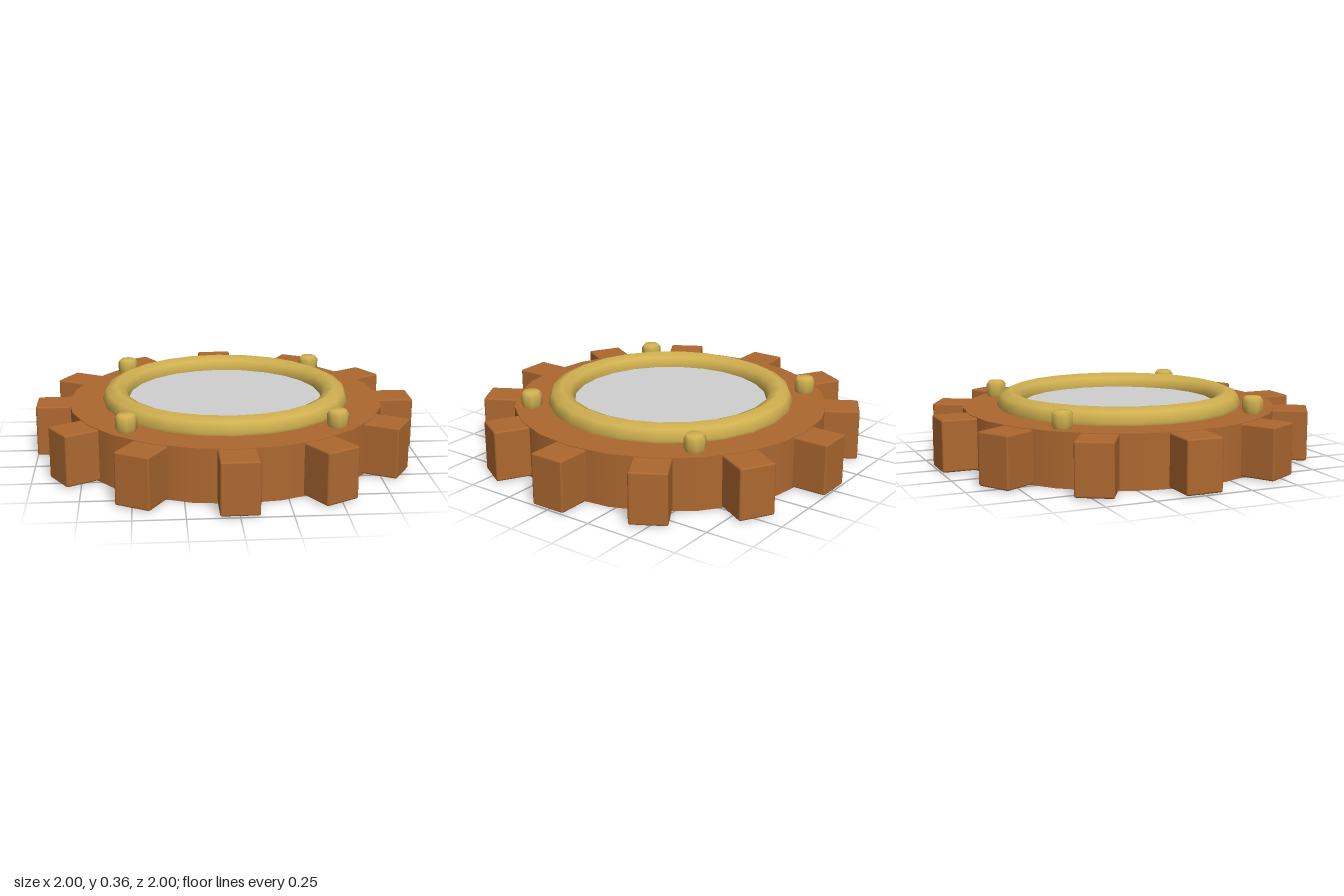
import * as THREE from 'three';
import { RoundedBoxGeometry } from 'three/addons/geometries/RoundedBoxGeometry.js';

export function createModel() {
  const model = new THREE.Group();
  model.name = 'gear';

  const material = (name, color) => {
    const m = new THREE.MeshStandardMaterial({ color });
    m.name = name;
    return m;
  };
  const copper = material('copper', 0xad6830);
  const gold = material('gold', 0xd0b050);
  const silver = material('silver', 0xd0d0d0);

  const add = (name, geometry, mat, x = 0, y = 0, z = 0) => {
    const mesh = new THREE.Mesh(geometry, mat);
    mesh.name = name;
    mesh.position.set(x, y, z);
    model.add(mesh);
    return mesh;
  };

  // Gear body
  add('gearBody', new THREE.CylinderGeometry(0.83, 0.83, 0.275, 24), copper, 0, 0.1375, 0);

  // Twelve softly bevelled teeth
  const toothShape = new RoundedBoxGeometry(0.19, 0.267, 0.3, 1, 0.01);
  for (let i = 0; i < 12; i++) {
    const a = (i * Math.PI) / 6;
    const tooth = add('tooth', toothShape, copper, Math.sin(a) * 0.85, 0.1385, Math.cos(a) * 0.85);
    tooth.rotation.y = a;
  }

  // Raised rim around the dial
  const rim = new THREE.TorusGeometry(0.582, 0.07, 8, 24);
  rim.rotateX(-Math.PI / 2);
  add('rim', rim, gold, 0, 0.29, 0);

  // Flat dial
  add('dial', new THREE.CylinderGeometry(0.56, 0.56, 0.02, 24), silver, 0, 0.277, 0);

  // Four barrel-shaped rivets
  const profile = [[0.04, 0.262], [0.054, 0.29], [0.056, 0.34], [0.042, 0.36], [0, 0.362]];
  const rivetShape = new THREE.LatheGeometry(profile.map(([r, y]) => new THREE.Vector2(r, y)), 8);
  for (const x of [-0.522, 0.522]) {
    for (const z of [-0.522, 0.522]) add('rivet', rivetShape, gold, x, 0, z);
  }

  return model;
}
